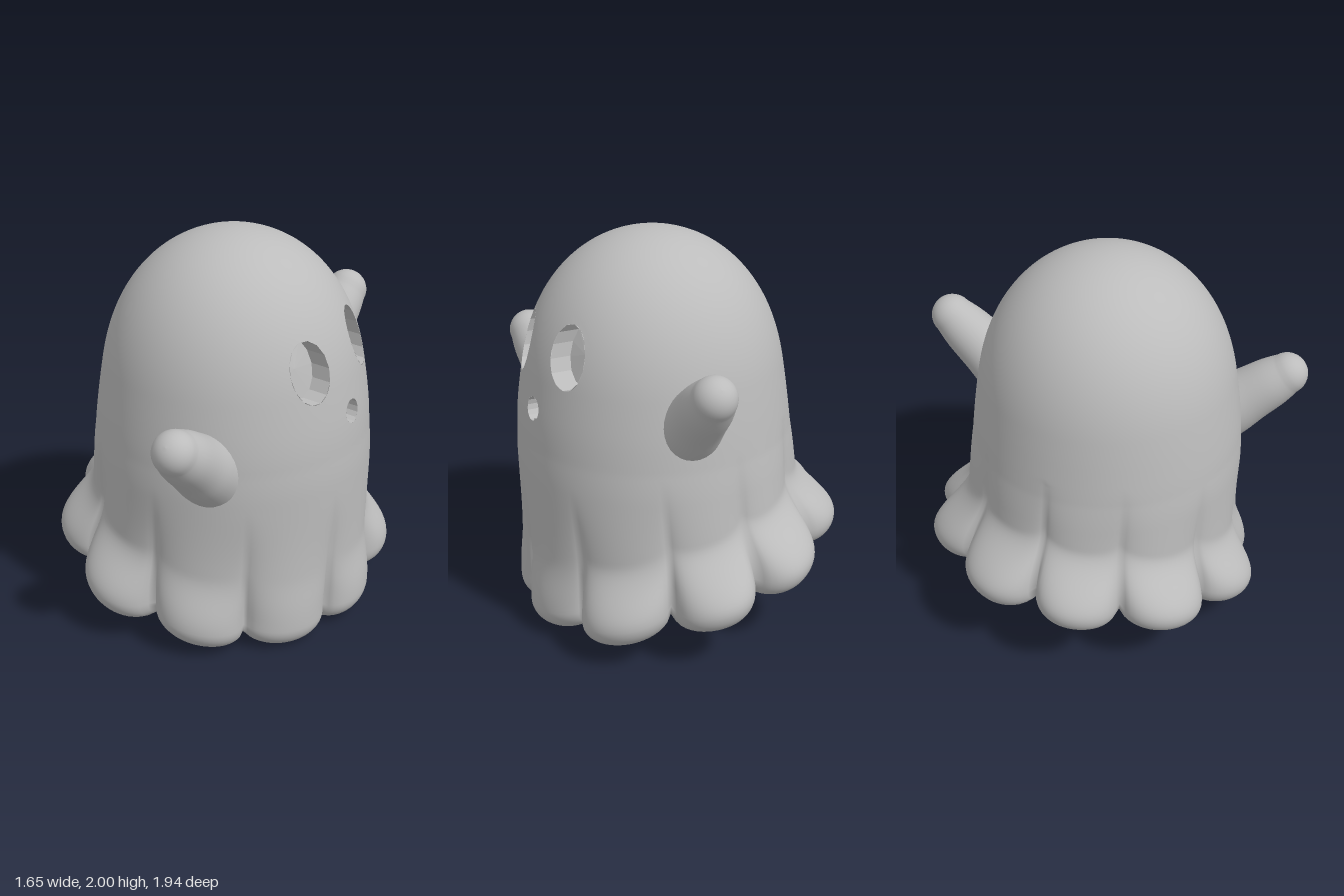
import * as THREE from 'three';

const grey = new THREE.MeshStandardMaterial({ color: 0xbcbcbc, side: THREE.DoubleSide });
grey.name = 'sheet grey';

const { lerp, smoothstep, degToRad } = THREE.MathUtils;
const SEG = 220;

// Hem lobes: angle around the body (degrees) and how far each one sticks out
const lobes = [[-155, 0.91], [-115, 0.91], [-87, 0.92], [-51, 0.87], [-12, 0.77], [25, 0.75],
  [66, 0.8], [102, 0.87], [140, 0.89], [175, 0.9]];

// Face openings, as tilted ellipses seen along x
const openings = [
  { name: 'leftEye', z: -0.25, y: 1.505, rz: 0.095, ry: 0.155, tilt: 0.3 },
  { name: 'rightEye', z: 0.18, y: 1.46, rz: 0.107, ry: 0.15, tilt: 0 },
  { name: 'mouth', z: -0.07, y: 1.2, rz: 0.058, ry: 0.06, tilt: 0 },
];

const centreX = (y) => 0.07 + 0.038 * smoothstep(y, 0.3, 1.2);
const centreZ = (y) => -0.02 * (1 - smoothstep(y, 0.5, 1.1));
const radius = (y) => (y > 1 ? 0.7 * Math.sqrt(Math.max(0, 1 - (y - 1) ** 2.6)) : 0.7 + 0.05 * (1 - y))
  * (1 - 0.04 * smoothstep(y, 0.85, 1.35));
const frontX = (y, z) => centreX(y) + Math.sqrt(Math.max(0, radius(y) ** 2 - z * z));

// Lobe fullness (1 in the middle, 0 in the crease) and reach at an angle
function lobeAt(deg) {
  const n = lobes.length;
  for (let i = 0; i < n; i++) {
    const mid = lobes[i][0];
    const prev = i ? lobes[i - 1][0] : lobes[n - 1][0] - 360;
    const next = i < n - 1 ? lobes[i + 1][0] : lobes[0][0] + 360;
    for (const d of [deg, deg - 360, deg + 360]) {
      const lo = (prev + mid) / 2, hi = (mid + next) / 2;
      if (d >= lo && d <= hi) {
        const s = d < mid ? (mid - d) / (mid - lo) : (d - mid) / (hi - mid);
        return { full: Math.sqrt(Math.max(0, 1 - s * s)), reach: lobes[i][1] };
      }
    }
  }
  return { full: 0, reach: 0.7 };
}

// One column of the sheet, from the crown over the hem and across the underside
function column(a) {
  const { full, reach } = lobeAt(a * 180 / Math.PI);
  const lean = Math.cos(a - degToRad(21));
  const hem = 0.182 - 0.178 * lean + 0.07 * (1 - full);
  const crease = 0.68 - 0.04 * lean;
  const bulb = lerp(crease, reach, full);
  const half = 0.065 + 0.05 * full;
  const pts = [];
  const add = (r, y) => pts.push([centreX(y) + r * Math.cos(a), y, centreZ(y) + r * Math.sin(a)]);
  for (let i = 0; i <= 72; i++) {                       // dome
    const y = 1 + Math.cos(Math.acos(0.1) * i / 72);
    add(radius(y), y);
  }
  for (let i = 1; i <= 40; i++) {                       // skirt with folds
    const y = lerp(1.1, hem + half, i / 40), u = y - hem;
    const fold = 0.05 * (1 - full) * (1 - smoothstep(u, 0.25, 0.75));
    const w = 1 - smoothstep(u, half, 0.4);
    add(lerp(radius(y) - fold, bulb, w), y);
  }
  const turn = Math.PI * 0.7;
  for (let i = 1; i <= 16; i++) {                       // rounded hem
    const f = turn * i / 16;
    add(bulb - half * (1 - Math.cos(f)), hem + half * (1 - Math.sin(f)));
  }
  const rimR = bulb - half * (1 - Math.cos(turn));
  const rimY = hem + half * (1 - Math.sin(turn));
  for (let i = 1; i <= 16; i++) {                       // shallow underside
    add(rimR * (1 - i / 16), lerp(rimY, 0.34, Math.sin(Math.PI / 2 * i / 16)));
  }
  return pts;
}

// Distance from an opening's middle, 1 on its rim
function local(o, y, z) {
  const c = Math.cos(o.tilt), s = Math.sin(o.tilt), dz = z - o.z, dy = y - o.y;
  return Math.hypot((dz * c - dy * s) / o.rz, (dz * s + dy * c) / o.ry);
}

function bodyGeometry() {
  const cols = [];
  for (let i = 0; i < SEG; i++) cols.push(column((i / SEG) * 2 * Math.PI - Math.PI));
  const rows = cols[0].length, index = [];
  // Pull vertices near an opening onto its rim
  for (const p of cols.flat()) {
    if (p[0] < 0.3 || p[1] < 1.1) continue;
    for (const o of openings) {
      const d = local(o, p[1], p[2]);
      if (Math.abs(d - 1) < 0.011 / o.rz) {
        p[1] = o.y + (p[1] - o.y) / d;
        p[2] = o.z + (p[2] - o.z) / d;
        p[0] = frontX(p[1], p[2]);
      }
    }
  }
  const at = (k) => cols[Math.floor(k / rows)][k % rows];
  const tri = (...t) => {
    const m = [0, 1, 2].map((c) => (at(t[0])[c] + at(t[1])[c] + at(t[2])[c]) / 3);
    if (m[0] > 0.3 && m[1] > 1.1 && openings.some((o) => local(o, m[1], m[2]) < 0.995)) return;
    index.push(...t);
  };
  for (let i = 0; i < SEG; i++) {
    for (let j = 0; j < rows - 1; j++) {
      const a = i * rows + j, b = ((i + 1) % SEG) * rows + j;
      if (j > 0) tri(a, b, a + 1);
      if (j < rows - 2) tri(b, b + 1, a + 1);
    }
  }
  const g = new THREE.BufferGeometry();
  g.setAttribute('position', new THREE.Float32BufferAttribute(cols.flat(2), 3));
  g.setIndex(index);
  g.computeVertexNormals();
  return g;
}

// Recess behind an opening: wall and floor
function socketGeometry(o, depth) {
  const n = 14, pos = [], c = Math.cos(o.tilt), s = Math.sin(o.tilt);
  const rim = (i, back) => {
    const f = (i / n) * 2 * Math.PI, p = o.rz * Math.cos(f), q = o.ry * Math.sin(f);
    const z = o.z + p * c + q * s, y = o.y - p * s + q * c;
    return [frontX(y, z) - back, y, z];
  };
  const mid = [frontX(o.y, o.z) - depth, o.y, o.z];
  for (let i = 0; i < n; i++) {
    const a = rim(i, 0), b = rim(i + 1, 0), d = rim(i, depth), e = rim(i + 1, depth);
    pos.push(...a, ...b, ...d, ...b, ...e, ...d, ...d, ...e, ...mid);
  }
  const g = new THREE.BufferGeometry();
  g.setAttribute('position', new THREE.Float32BufferAttribute(pos, 3));
  g.computeVertexNormals();
  return g;
}

// Stubby arm: flared root, rounded tip
function arm(name, from, to) {
  const root = new THREE.Vector3(...from), dir = new THREE.Vector3(...to).sub(root);
  const len = dir.length(), r = 0.108;
  const flare = new THREE.SplineCurve([[0.17, 0], [0.16, 0.25], [0.143, 0.5], [0.128, 0.8], [r, 1]]
    .map(([x, t]) => new THREE.Vector2(x, t * len)));
  const pts = flare.getPoints(16);
  for (let i = 1; i <= 8; i++) {
    const f = Math.PI / 2 * i / 8;
    pts.push(new THREE.Vector2(r * Math.cos(f), len + r * Math.sin(f)));
  }
  const m = new THREE.Mesh(new THREE.LatheGeometry(pts, 32), grey);
  m.name = name;
  m.position.copy(root);
  m.quaternion.setFromUnitVectors(new THREE.Vector3(0, 1, 0), dir.normalize());
  return m;
}

export function createModel() {
  const group = new THREE.Group();
  group.name = 'ghost';
  const body = new THREE.Mesh(bodyGeometry(), grey);
  body.name = 'sheetBody';
  group.add(body);
  for (const o of openings) {
    const m = new THREE.Mesh(socketGeometry(o, 0.1), grey);
    m.name = o.name;
    group.add(m);
  }
  group.add(arm('rightArm', [0.38, 0.98, 0.52], [0.45, 1.245, 0.862]));
  group.add(arm('leftArm', [0.18, 1.12, -0.5], [0.2, 1.45, -0.862]));
  return group;
}
